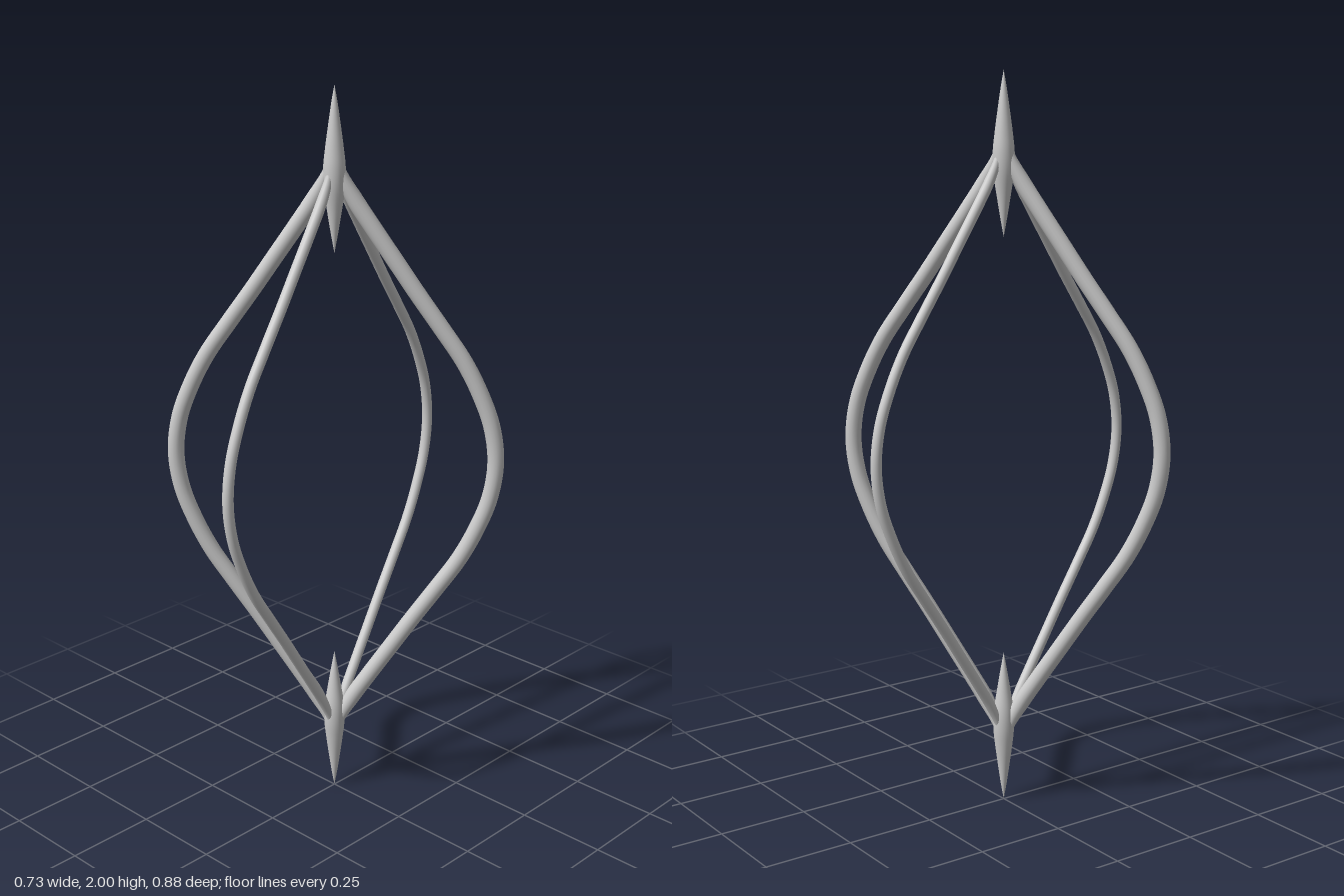
import * as THREE from 'three';

const material = new THREE.MeshStandardMaterial({ color: 0xcccccc });

// Half profile of a rib: [height above the middle, share of the full reach]
const HALF = [[0.1, 0.97], [0.19, 0.895], [0.28, 0.79], [0.37, 0.65], [0.46, 0.505],
  [0.55, 0.365], [0.64, 0.225], [0.71, 0.12], [0.77, 0.05], [0.82, 0.018], [0.88, 0]];

// One bowed rod from the lower spike to the upper one, thinning at both ends
function rib(name, x, z, radius) {
  const at = ([h, f], sign) => new THREE.Vector3(x * f, 1 + 0.01 * f + sign * h, z * f);
  const points = [
    ...HALF.slice().reverse().map((p) => at(p, -1)),
    at([0, 1], 1),
    ...HALF.map((p) => at(p, 1)),
  ];
  const curve = new THREE.CatmullRomCurve3(points);
  const rings = 120, sides = 16;
  const geometry = new THREE.TubeGeometry(curve, rings, radius, sides);
  const pos = geometry.attributes.position;
  const v = new THREE.Vector3();
  for (let i = 0; i <= rings; i++) {
    const centre = curve.getPointAt(i / rings);
    const end = Math.min(i, rings - i) / rings;
    const scale = 0.15 + 0.85 * THREE.MathUtils.smoothstep(end, 0, 0.1);
    for (let j = 0; j <= sides; j++) {
      const k = i * (sides + 1) + j;
      v.fromBufferAttribute(pos, k).sub(centre).multiplyScalar(scale).add(centre);
      pos.setXYZ(k, v.x, v.y, v.z);
    }
  }
  const mesh = new THREE.Mesh(geometry, material);
  mesh.name = name;
  return mesh;
}

// Spindle pointed at both ends, tip at y = 0
function spike(name) {
  const outline = new THREE.SplineCurve([
    [0, 0], [0.008, 0.045], [0.016, 0.1], [0.024, 0.16], [0.029, 0.21],
    [0.028, 0.26], [0.019, 0.32], [0.01, 0.375], [0, 0.43],
  ].map(([r, y]) => new THREE.Vector2(r, y)));
  const profile = outline.getPoints(40).map((p) => new THREE.Vector2(Math.max(p.x, 0), p.y));
  const mesh = new THREE.Mesh(new THREE.LatheGeometry(profile, 24), material);
  mesh.name = name;
  return mesh;
}

export function createModel() {
  const model = new THREE.Group();
  model.name = 'cage';

  // Two opposed thick ribs and two opposed thin ones
  for (const s of [1, -1]) {
    model.add(rib(s > 0 ? 'thickRibLeft' : 'thickRibRight', s * 0.342, s * -0.265, 0.0225));
    model.add(rib(s > 0 ? 'thinRibFront' : 'thinRibBack', s * 0.041, s * 0.428, 0.0145));
  }

  // Spikes joining the ribs at both ends
  const lower = spike('lowerSpike');
  const upper = spike('upperSpike');
  upper.rotation.x = Math.PI;
  upper.position.y = 2;
  model.add(lower, upper);
  return model;
}
